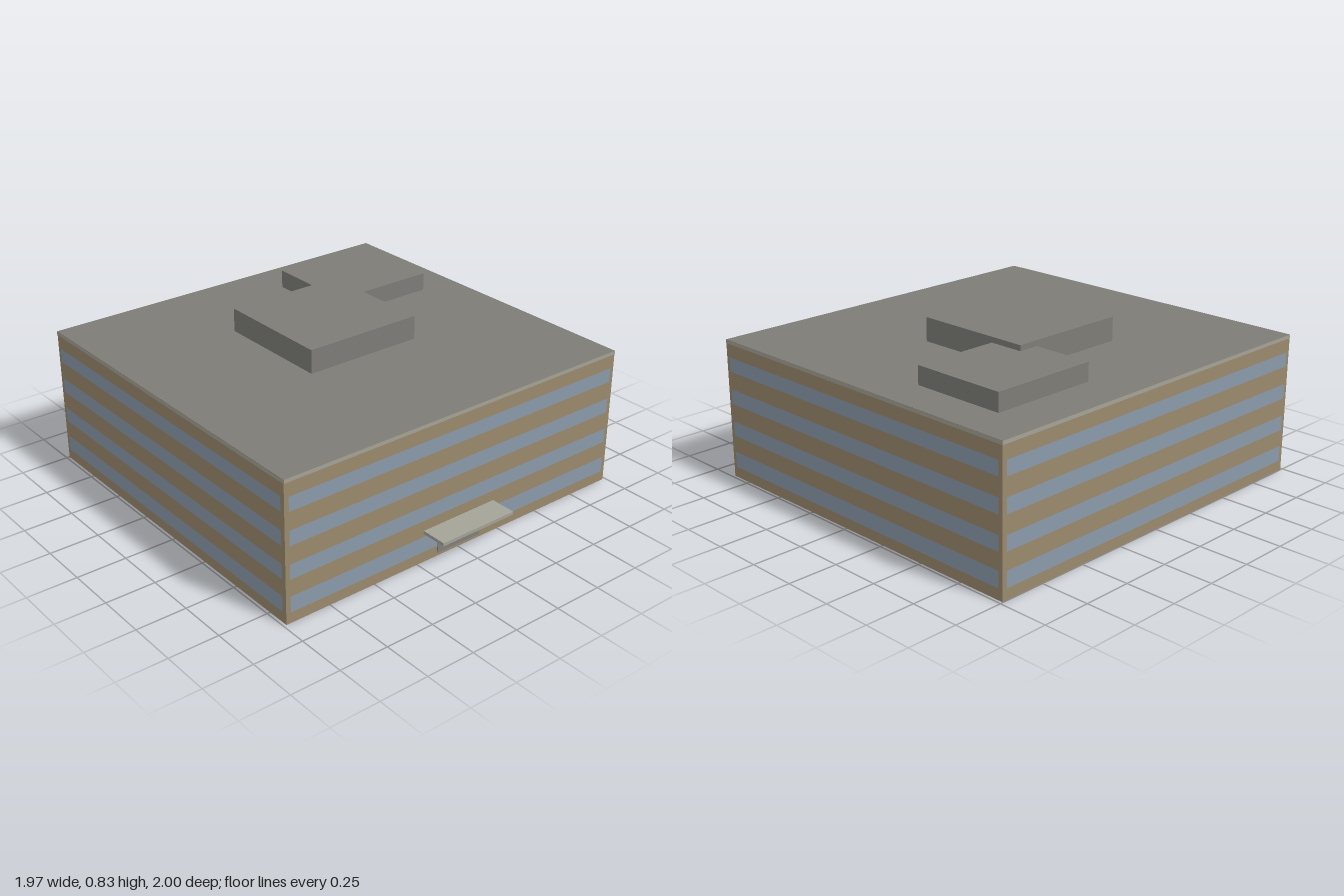
import * as THREE from 'three';

const mat = (name, color, side = THREE.FrontSide) => {
  const m = new THREE.MeshStandardMaterial({ color, side });
  m.name = name;
  return m;
};

export function createModel() {
  const group = new THREE.Group();
  const wall = mat('tan wall', 0x9a8a6c, THREE.DoubleSide);
  const glass = mat('blue glass', 0x8a9baa);
  const roofGrey = mat('roof grey', 0x7d7c77, THREE.DoubleSide);
  const doorGrey = mat('door grey', 0x807f7d);
  const trim = mat('pale trim', 0xa3a398);

  const add = (name, geometry, material, parent = group) => {
    const mesh = new THREE.Mesh(geometry, material);
    mesh.name = name;
    parent.add(mesh);
    return mesh;
  };
  // Box given by its limits on each axis
  const box = (name, material, x0, x1, y0, y1, z0, z1) =>
    add(name, new THREE.BoxGeometry(x1 - x0, y1 - y0, z1 - z0), material)
      .position.set((x0 + x1) / 2, (y0 + y1) / 2, (z0 + z1) / 2);

  const X = 0.985, Z0 = -0.998, Z1 = 0.868, H = 0.708;
  const midZ = (Z0 + Z1) / 2, halfZ = (Z1 - Z0) / 2;
  const bands = [[0.055, 0.135], [0.22, 0.295], [0.385, 0.46], [0.55, 0.622]];

  // Four facades, each with its wall, window bands and top trim
  const sides = [
    ['front', 0, X, halfZ], ['left', Math.PI / 2, halfZ, X],
    ['back', Math.PI, X, halfZ], ['right', -Math.PI / 2, halfZ, X],
  ];
  for (const [name, angle, half, depth] of sides) {
    const facade = new THREE.Group();
    facade.name = name + 'Facade';
    facade.position.z = midZ;
    facade.rotation.y = angle;
    group.add(facade);
    const strip = (part, material, w, y0, y1, out) =>
      add(part, new THREE.PlaneGeometry(w, y1 - y0), material, facade)
        .position.set(0, (y0 + y1) / 2, depth + out);
    strip(name + 'Wall', wall, 2 * half, 0, H, 0);
    bands.forEach(([y0, y1], i) =>
      strip(`${name}WindowBand${i + 1}`, glass, 2 * half - 0.045, y0, y1, 0.002));
    strip(name + 'RoofTrim', trim, 2 * half, 0.69, H, 0.002);
  }

  // Flat roof over the hollow shell
  const roof = add('roof', new THREE.PlaneGeometry(2 * X, 2 * halfZ), roofGrey);
  roof.rotation.x = -Math.PI / 2;
  roof.position.set(0, H, midZ);

  // Rooftop plant rooms
  box('largePlantRoom', roofGrey, -0.302, 0.328, H, 0.828, -0.455, 0.165);
  box('smallPlantRoom', roofGrey, 0.222, 0.778, H, 0.8, -0.768, -0.275);

  // Entrance door and canopy
  box('door', doorGrey, -0.13, 0.13, 0.018, 0.142, Z1 + 0.001, Z1 + 0.005);
  box('canopy', trim, -0.215, 0.215, 0.15, 0.166, Z1 - 0.004, 1);

  return group;
}
